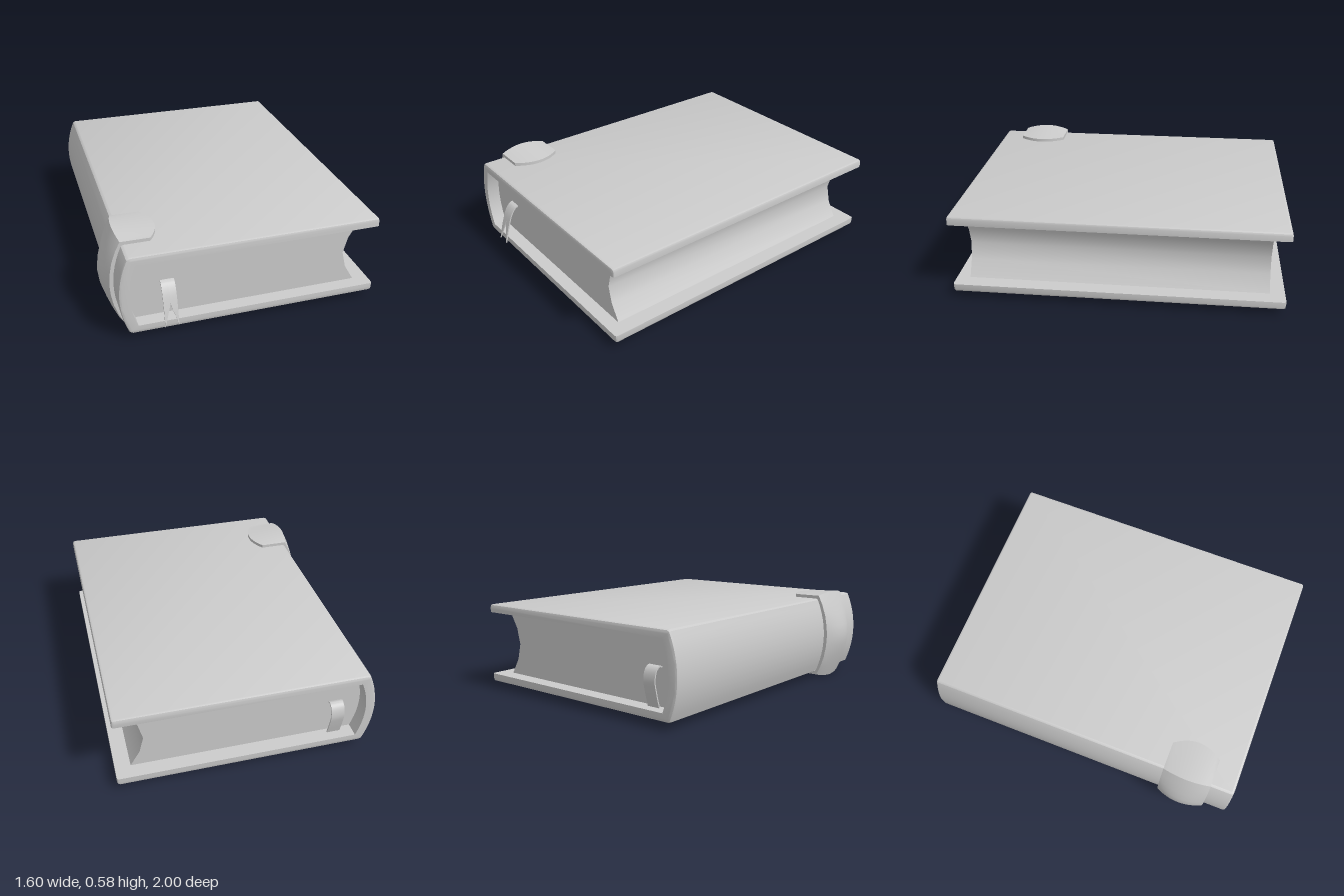
import * as THREE from 'three';
import { toCreasedNormals } from 'three/addons/utils/BufferGeometryUtils.js';

const MID = 0.2875;          // height of the book's middle plane
const H = 0.2475, IN = 0.198; // half heights of the cover, outside and inside

const material = new THREE.MeshStandardMaterial({ color: 0xcccccc });

// Adds the mirror image (y to -y) of an upper half that ends on y = 0
const mirror = (half) => [...half, ...half.slice(0, -1).reverse().map(([x, y]) => [x, -y])];

// Spine arc from (x, h) to (x - bulge, 0)
const arc = (x, h, bulge, n = 6) => Array.from({ length: n + 1 }, (_, i) => {
  const y = 1 - i / n;
  return [x - bulge * (1 - y * y), h * y];
});

// Closed solid through counter-clockwise outlines stacked along z
function loft(sections, crease = 0.6) {
  const n = sections[0].ring.length, pos = [], idx = [];
  for (const { z, ring } of sections) for (const [x, y] of ring) pos.push(x, y, z);
  for (let i = 0; i < sections.length - 1; i++) {
    for (let j = 0; j < n; j++) {
      const a = i * n + j, b = i * n + (j + 1) % n;
      idx.push(a, b, b + n, a, b + n, a + n);
    }
  }
  const last = (sections.length - 1) * n;
  [[0, true], [last, false]].forEach(([off, flip]) => {
    const ring = sections[off / n].ring.map(([x, y]) => new THREE.Vector2(x, y));
    for (const [a, b, c] of THREE.ShapeUtils.triangulateShape(ring, [])) {
      if (flip) idx.push(off + a, off + c, off + b);
      else idx.push(off + a, off + b, off + c);
    }
  });
  const g = new THREE.BufferGeometry();
  g.setAttribute('position', new THREE.Float32BufferAttribute(pos, 3));
  g.setIndex(idx);
  return toCreasedNormals(g, crease);
}

// Cover outline: two boards joined by a rounded spine, outer side inset by o
function coverRing(o) {
  const outer = [[0.8 - o, H - 0.014 - o], [0.796 - o, H - 0.004 - o], [0.786 - o, H - o],
    [-0.67 + o, H - o], ...arc(-0.685 + o, H - 0.008 - o, 0.052)];
  const inner = [[0.8 - o, IN], ...arc(-0.635, IN, 0.042)];
  return [...mirror(outer), ...mirror(inner).reverse()];
}

// Page block outline with rounded back and hollow fore edge
function pageRing() {
  const back = arc(-0.65, IN + 0.003, 0.045);
  const fore = [[0.71, IN + 0.003], [0.65, 0.1], [0.625, 0]];
  return [...mirror(back), ...mirror(fore).reverse()];
}

// Spine clasp outline; s runs from 0 at its rims to 1 at its crown
function claspRing(s) {
  const end = -0.52 + 0.057 * s;
  const outer = [[end, 0.267], [-0.69 - 0.02 * s, 0.268 + 0.021 * s],
    [-0.718 - 0.022 * s, 0.21 + 0.01 * s], [-0.742 - 0.027 * s, 0.14],
    [-0.756 - 0.036 * s, 0.065], [-0.76 - 0.04 * s, 0]];
  const inner = [[end, H - 0.003], ...arc(-0.68, H - 0.003, 0.05, 4)];
  return [...mirror(outer), ...mirror(inner).reverse()];
}

// Thin band following (z, y) points, between the edges left(y) and right(y)
function band(points, left, right) {
  const curve = new THREE.CatmullRomCurve3(points.map(([z, y]) => new THREE.Vector3(0, y, z)));
  const g = new THREE.BoxGeometry(1, 1, 1, 1, 20, 1);
  const p = g.attributes.position;
  for (let i = 0; i < p.count; i++) {
    const t = 0.5 - p.getY(i);
    const c = curve.getPoint(t), d = curve.getTangent(t), w = p.getZ(i) * 0.008;
    const x = p.getX(i) < 0 ? left(c.y) : right(c.y);
    p.setXYZ(i, x, c.y + d.z * w, c.z - d.y * w);
  }
  return toCreasedNormals(g, 0.6);
}

export function createModel() {
  const book = new THREE.Group();
  book.name = 'book';
  const add = (name, geometry, parent = book) => {
    const mesh = new THREE.Mesh(geometry, material);
    mesh.name = name;
    parent.add(mesh);
    return mesh;
  };

  // Cover with softened head and tail edges
  const bevel = [[-1, 0.014], [-0.996, 0.004], [-0.986, 0], [0.956, 0], [0.966, 0.004], [0.97, 0.014]];
  add('cover', loft(bevel.map(([z, o]) => ({ z, ring: coverRing(o) })))).position.y = MID;

  // Page block
  add('pages', loft([-0.91, 0.89].map((z) => ({ z, ring: pageRing() })))).position.y = MID;

  // Domed clasp wrapped round the spine
  const clasp = Array.from({ length: 13 }, (_, i) => {
    const u = i / 6 - 1;
    return { z: 0.675 + 0.15 * u, ring: claspRing(1 - u * u) };
  });
  add('spineClasp', loft(clasp, 0.5)).position.y = MID;

  // Bookmark ribbon: swallow-tailed end at the front
  const front = new THREE.Group();
  front.name = 'ribbonTail';
  front.position.x = -0.45;
  book.add(front);
  const path = [[0.885, 0.31], [0.91, 0.3], [0.94, 0.26], [0.97, 0.18], [1, 0.07]];
  const notch = (y) => 0.039 * Math.max(0, (0.2 - y) / 0.13);
  add('ribbonTailLeft', band(path, notch, () => 0.04), front);
  add('ribbonTailRight', band(path, () => -0.04, (y) => -notch(y)), front);

  // Looped end of the ribbon at the back
  const loop = add('ribbonLoop', band(
    [[0.9, 0.305], [0.93, 0.315], [0.957, 0.295], [0.97, 0.24], [0.96, 0.18], [0.936, 0.088]],
    () => -0.04, () => 0.04));
  loop.rotation.y = Math.PI;
  loop.position.x = -0.52;

  return book;
}
